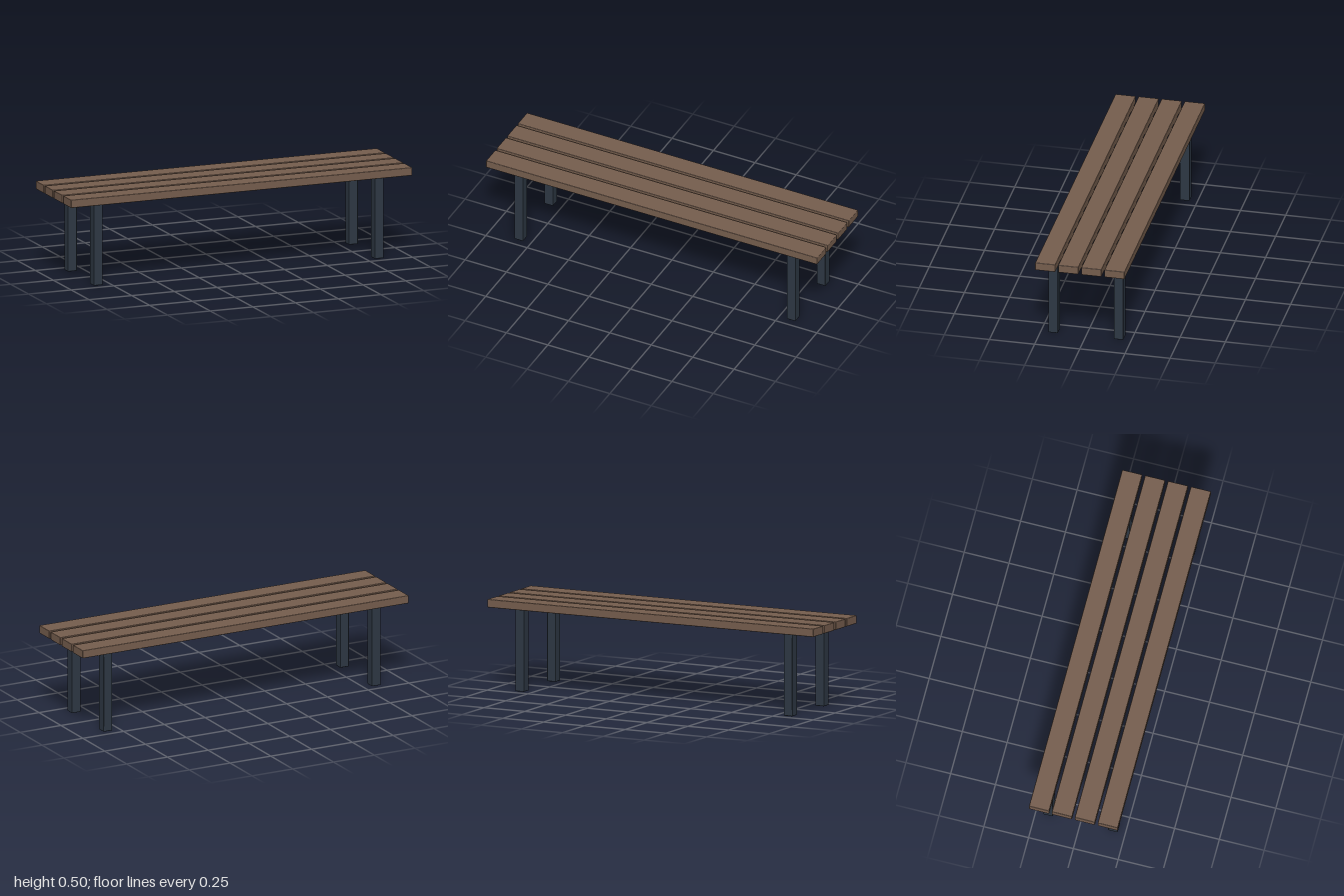
import * as THREE from 'three';
import { RoundedBoxGeometry } from 'three/addons/geometries/RoundedBoxGeometry.js';

const BEVEL = 0.004;
const TOP = 0.498;        // seat height
const THICK = 0.045;      // slat thickness
const SLAT_WIDTH = 0.112;
const SLAT_PITCH = 0.1278;
const LEG = 0.054;        // leg side

export function createModel() {
  const bench = new THREE.Group();
  bench.name = 'bench';

  const wood = new THREE.MeshStandardMaterial({ color: 0x755d4d });
  wood.name = 'brown wood';
  const metal = new THREE.MeshStandardMaterial({ color: 0x2d3743 });
  metal.name = 'dark metal';

  // Block with narrow chamfered edges
  const block = (w, h, d) => new RoundedBoxGeometry(w, h, d, 1, BEVEL);
  const add = (name, geometry, material, x, y, z) => {
    const mesh = new THREE.Mesh(geometry, material);
    mesh.name = name;
    mesh.position.set(x, y, z);
    bench.add(mesh);
  };

  // Four seat slats running the full length
  const slat = block(2, THICK, SLAT_WIDTH);
  for (let i = 0; i < 4; i++) {
    add(`seatSlat${i + 1}`, slat, wood, 0, TOP - THICK / 2, (1.5 - i) * SLAT_PITCH);
  }

  // Four square legs under the outer slats
  const legHeight = TOP - THICK;
  const leg = block(LEG, legHeight, LEG);
  for (const [side, x] of [['Left', 0.823], ['Right', -0.823]]) {
    add(`front${side}Leg`, leg, metal, x, legHeight / 2, 0.181);
    add(`back${side}Leg`, leg, metal, x, legHeight / 2, -0.181);
  }

  return bench;
}
